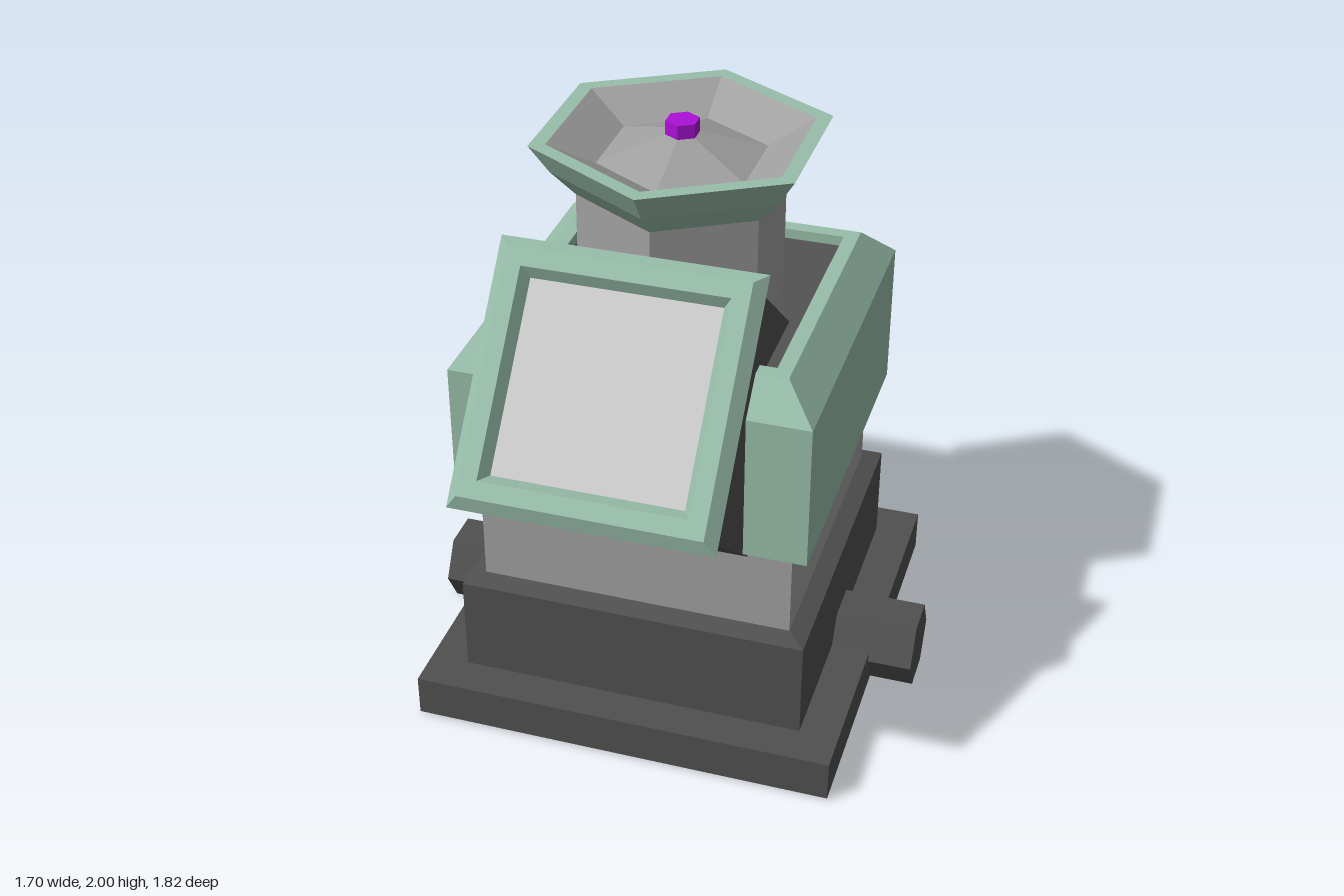
import * as THREE from 'three';

const mat = (color) => new THREE.MeshStandardMaterial({ color, flatShading: true });
const green = mat(0x98bdaa), grey = mat(0xa0a0a0), dark = mat(0x505050);
const screenGrey = mat(0xcccccc), purple = mat(0xab10d6);

// Faceted lathe; profile is [radius, height] from bottom to top
function lathe(name, profile, sides, material) {
  const square = sides === 4; // square profiles give half the side length
  const k = square ? Math.SQRT2 : 1;
  const pts = profile.map(([r, y]) => new THREE.Vector2(r * k, y));
  const geo = new THREE.LatheGeometry(pts, sides, square ? Math.PI / 4 : 0).toNonIndexed();
  geo.computeVertexNormals();
  const mesh = new THREE.Mesh(geo, material);
  mesh.name = name;
  return mesh;
}

export function createModel() {
  const model = new THREE.Group();
  model.name = 'machine';
  const tower = new THREE.Group();
  tower.name = 'tower';
  tower.position.set(-0.012, 0, -0.12);
  model.add(tower);

  // Stacked square body
  tower.add(
    lathe('basePlate', [[0, 0.006], [0.714, 0.006], [0.714, 0.15], [0, 0.15]], 4, dark),
    lathe('lowerBody', [[0.583, 0.14], [0.583, 0.49], [0.522, 0.51], [0, 0.51]], 4, dark),
    lathe('middleBody', [[0.522, 0.5], [0.522, 0.82]], 4, grey),
    lathe('upperHousing', [[0, 0.81], [0.522, 0.81], [0.583, 0.83], [0.583, 1.33],
      [0.481, 1.435], [0.432, 1.435], [0.432, 1.4]], 4, green),
    lathe('housingRecess', [[0.432, 1.4], [0.22, 1.33], [0, 1.33]], 4, dark),
  );

  // Hexagonal neck, dish and knob
  tower.add(
    lathe('neck', [[0.34, 1.31], [0.34, 1.79]], 6, grey),
    lathe('dishRim', [[0, 1.78], [0.34, 1.78], [0.42, 1.865], [0.485, 1.96], [0.43, 1.96]], 6, green),
    lathe('dishBowl', [[0.43, 1.96], [0.275, 1.88], [0, 1.972]], 6, grey),
    lathe('knob', [[0, 1.95], [0.055, 1.95], [0.055, 2], [0, 2]], 6, purple),
  );

  // Hexagonal pipe stubs on both sides and the back
  for (const [name, angle, start, end] of [
    ['leftPipe', Math.PI / 2, 0.57, 0.862],
    ['rightPipe', -Math.PI / 2, 0.57, 0.843],
    ['backPipe', Math.PI, 0.57, 0.785],
  ]) {
    const geo = new THREE.CylinderGeometry(0.141, 0.141, end - start, 6);
    geo.rotateY(Math.PI / 2);
    geo.rotateX(Math.PI / 2);
    geo.translate(0, 0.122, (start + end) / 2);
    const pipe = new THREE.Mesh(geo, dark);
    pipe.name = name;
    pipe.rotation.y = angle;
    tower.add(pipe);
  }

  // Tilted screen: local y points out of the display
  const display = new THREE.Group();
  display.name = 'display';
  display.position.set(-0.012, 0.546, -0.458);
  display.rotation.x = THREE.MathUtils.degToRad(50);
  display.add(
    lathe('displayArm', [[0, 0.72], [0.377, 0.72], [0.377, 1.28]], 4, dark),
    lathe('displayFrame', [[0, 1.277], [0.377, 1.277], [0.416, 1.429], [0.38, 1.469],
      [0.325, 1.469], [0.3, 1.43]], 4, green),
    lathe('screen', [[0.3, 1.43], [0, 1.43]], 4, screenGrey),
  );
  model.add(display);
  return model;
}
